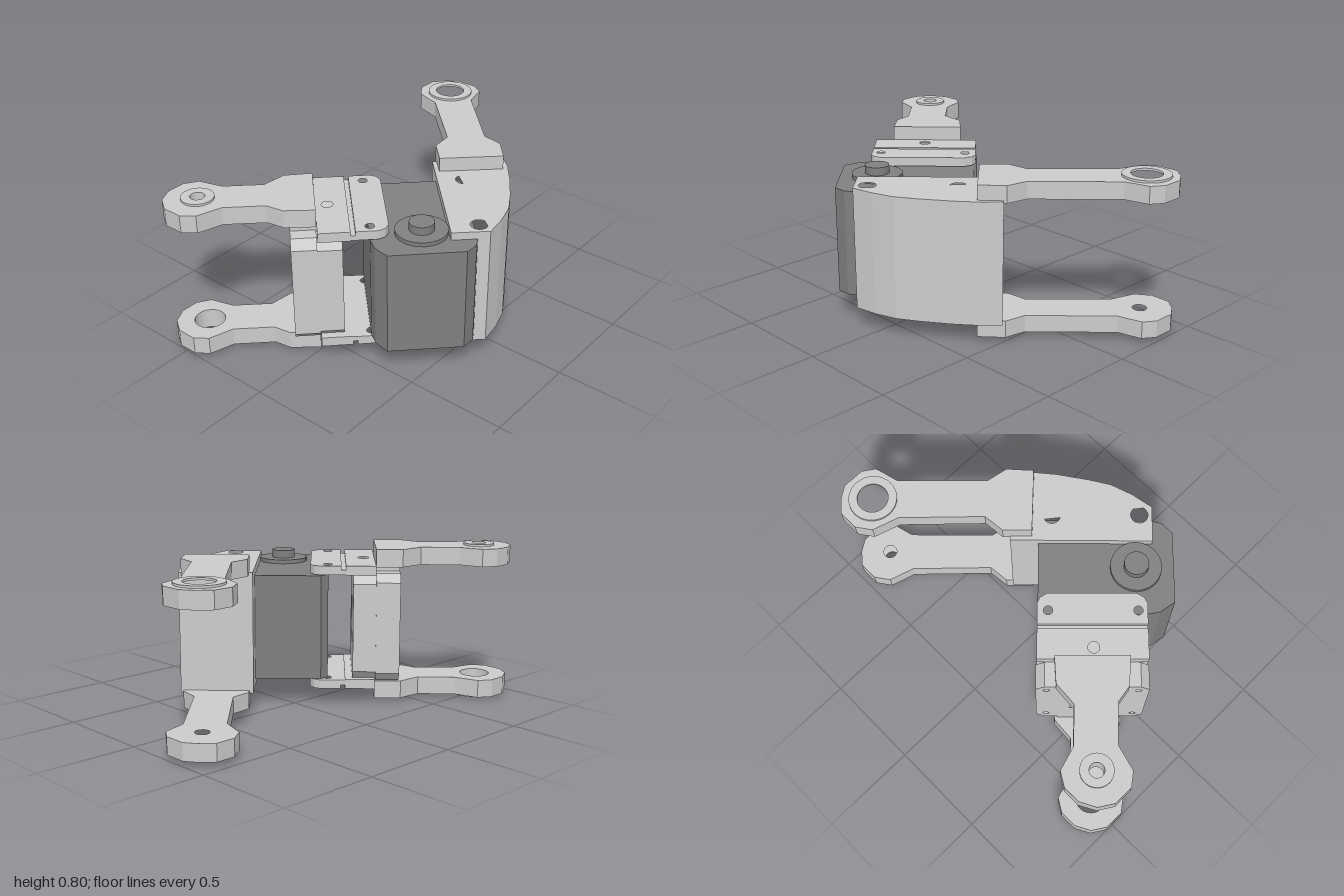
import * as THREE from 'three';

const grey = new THREE.MeshStandardMaterial({ color: 0xcccccc });
const dark = new THREE.MeshStandardMaterial({ color: 0x808080 });

// Shape from points, with round holes [x, y, radius]
function makeShape(points, holes = []) {
  const shape = new THREE.Shape(points.map(([x, y]) => new THREE.Vector2(x, y)));
  for (const [x, y, r] of holes) {
    shape.holes.push(new THREE.Path().absarc(x, y, r, 0, Math.PI * 2, true));
  }
  return shape;
}

function extrude(shape, depth) {
  return new THREE.ExtrudeGeometry(shape, { depth, bevelEnabled: false, curveSegments: 24 });
}

function add(parent, name, geometry, material = grey) {
  const mesh = new THREE.Mesh(geometry, material);
  mesh.name = name;
  parent.add(mesh);
  return mesh;
}

// Plan outline [x, z] raised from y0 to y1
function slab(parent, name, points, holes, y0, y1, material) {
  const shape = makeShape(points.map(([x, z]) => [x, -z]), holes.map(([x, z, r]) => [x, -z, r]));
  const geometry = extrude(shape, y1 - y0).rotateX(-Math.PI / 2).translate(0, y0, 0);
  return add(parent, name, geometry, material);
}

// Flat ring around a bearing hole
function ring(parent, name, [x, z], outer, inner, y0, y1) {
  const shape = new THREE.Shape().absarc(x, -z, outer, 0, Math.PI * 2, false);
  shape.holes.push(new THREE.Path().absarc(x, -z, inner, 0, Math.PI * 2, true));
  add(parent, name, extrude(shape, y1 - y0).rotateX(-Math.PI / 2).translate(0, y0, 0));
}

const rect = (x0, x1, y0, y1) => [[x0, y0], [x1, y0], [x1, y1], [x0, y1]];
const chamfered = (x0, x1, y0, y1, c) => [
  [x0 + c, y0], [x1 - c, y0], [x1, y0 + c], [x1, y1 - c],
  [x1 - c, y1], [x0 + c, y1], [x0, y1 - c], [x0, y0 + c]];

export function createModel() {
  const model = new THREE.Group();
  model.name = 'servoJoint';

  // Servo body with output shaft on top and bottom
  slab(model, 'servoBody', [[-0.11, 0.08], [0.21, -0.24], [0.6, 0.15], [0.63, 0.2], [0.63, 0.27],
    [0.375, 0.525], [0.29, 0.51], [0.23, 0.47], [-0.11, 0.13]], [], 0.135, 0.665, dark);
  for (const [name, r, half] of [['shaftFlange', 0.125, 0.285], ['shaft', 0.06, 0.34]]) {
    add(model, name, new THREE.CylinderGeometry(r, r, half * 2, 24), dark).position.set(0.37, 0.385 + 0.015 * (r > 0.1), 0.27);
  }

  // Curved rear cover
  slab(model, 'rearCover', [[0.03, -0.25], [0.28, -0.51], [0.35, -0.45], [0.44, -0.34], [0.53, -0.21],
    [0.59, -0.11], [0.625, 0], [0.635, 0.06], [0.645, 0.115], [0.515, 0.24]],
  [[0.265, -0.2, 0.042], [0.57, 0.1, 0.042]], 0.095, 0.703);

  // Rear fork arms
  const rearPivot = [-0.31, -0.85];
  const rearArm = [[-0.36, -1], [-0.25, -1], [-0.19, -0.96], [-0.16, -0.84], [0.15, -0.53], [0.26, -0.51],
    [0.35, -0.41], [0.12, -0.19], [0.02, -0.29], [0.01, -0.4], [-0.29, -0.69], [-0.42, -0.73],
    [-0.47, -0.8], [-0.47, -0.9], [-0.42, -0.96]];
  slab(model, 'rearUpperArm', rearArm, [[...rearPivot, 0.075]], 0.69, 0.775);
  ring(model, 'rearUpperRing', rearPivot, 0.117, 0.075, 0.775, 0.786);
  slab(model, 'rearLowerArm', rearArm, [[...rearPivot, 0.035]], 0.025, 0.11);
  ring(model, 'rearLowerRing', rearPivot, 0.078, 0.035, 0.014, 0.025);

  // Front fork arms
  const frontPivot = [-0.495, 0.84];
  const frontArm = [[-0.25, 0.33], [-0.34, 0.43], [-0.35, 0.555], [-0.49, 0.69], [-0.61, 0.725], [-0.65, 0.79],
    [-0.65, 0.88], [-0.61, 0.955], [-0.54, 1], [-0.44, 1], [-0.38, 0.955], [-0.345, 0.83],
    [-0.2, 0.69], [-0.11, 0.675], [0, 0.577]];
  slab(model, 'frontUpperArm', frontArm, [[...frontPivot, 0.035]], 0.695, 0.785);
  ring(model, 'frontUpperRing', frontPivot, 0.078, 0.035, 0.785, 0.796);
  slab(model, 'frontLowerArm', frontArm, [[...frontPivot, 0.075]], 0.012, 0.103);
  ring(model, 'frontLowerRing', frontPivot, 0.117, 0.075, 0, 0.012);

  // Front bracket, turned 45 degrees
  const bracket = new THREE.Group();
  bracket.name = 'frontBracket';
  bracket.rotation.y = -Math.PI / 4;
  model.add(bracket);

  // Mounting block in layers: square window, web with small hole, round recess
  const screws = [];
  for (const x of [0.02, 0.455]) for (const y of [0.188, 0.612]) screws.push([x, y, 0.016]);
  const face = chamfered(-0.03, 0.505, 0.125, 0.673, 0.042);
  const layer = (name, holes, z0, z1, outline = face) => {
    const shape = makeShape(outline, [...screws, ...holes]);
    if (name === 'blockFace') {
      shape.holes.push(new THREE.Path(rect(0.135, 0.34, 0.298, 0.502).map(([x, y]) => new THREE.Vector2(x, y))));
    }
    add(bracket, name, extrude(shape, z1 - z0).translate(0, 0, z0));
  };
  layer('blockFace', [], 0.466, 0.53);
  layer('blockWeb', [[0.237, 0.4, 0.03]], 0.41, 0.466);
  layer('blockBack', [[0.237, 0.4, 0.125]], 0.295, 0.41, chamfered(-0.027, 0.502, 0.13, 0.668, 0.045));

  // Hinge plates above and below, with a groove between the two pads
  for (const top of [true, false]) {
    const side = top ? 'upper' : 'lower';
    const plate = (name, points, holes, y0, y1) =>
      slab(bracket, side + name, points, holes, top ? y0 : 0.8 - y1, top ? y1 : 0.8 - y0);
    const u0 = -0.025, u1 = 0.5, c = 0.05;
    const holes = [[0.028, 0.167, 0.022], [0.455, 0.167, 0.022]];
    plate('ServoPad', [[u0, 0.235], [u0, 0.08 + c], [u0 + 0.015, 0.08 + 0.02], [u0 + c, 0.08], [u1 - c, 0.08],
      [u1 - 0.015, 0.08 + 0.02], [u1, 0.08 + c], [u1, 0.235]], holes, 0.67, 0.715);
    plate('GrooveFloor', rect(u0, u1, 0.235, 0.257), [], 0.67, 0.695);
    plate('BlockPad', rect(u0, u1, 0.257, 0.407), [[0.241, 0.35, 0.028]], 0.667, 0.715);
    plate('ArmSpacer', rect(0.077, 0.395, 0.407, 0.53), [], 0.667, 0.698);
  }

  return model;
}
